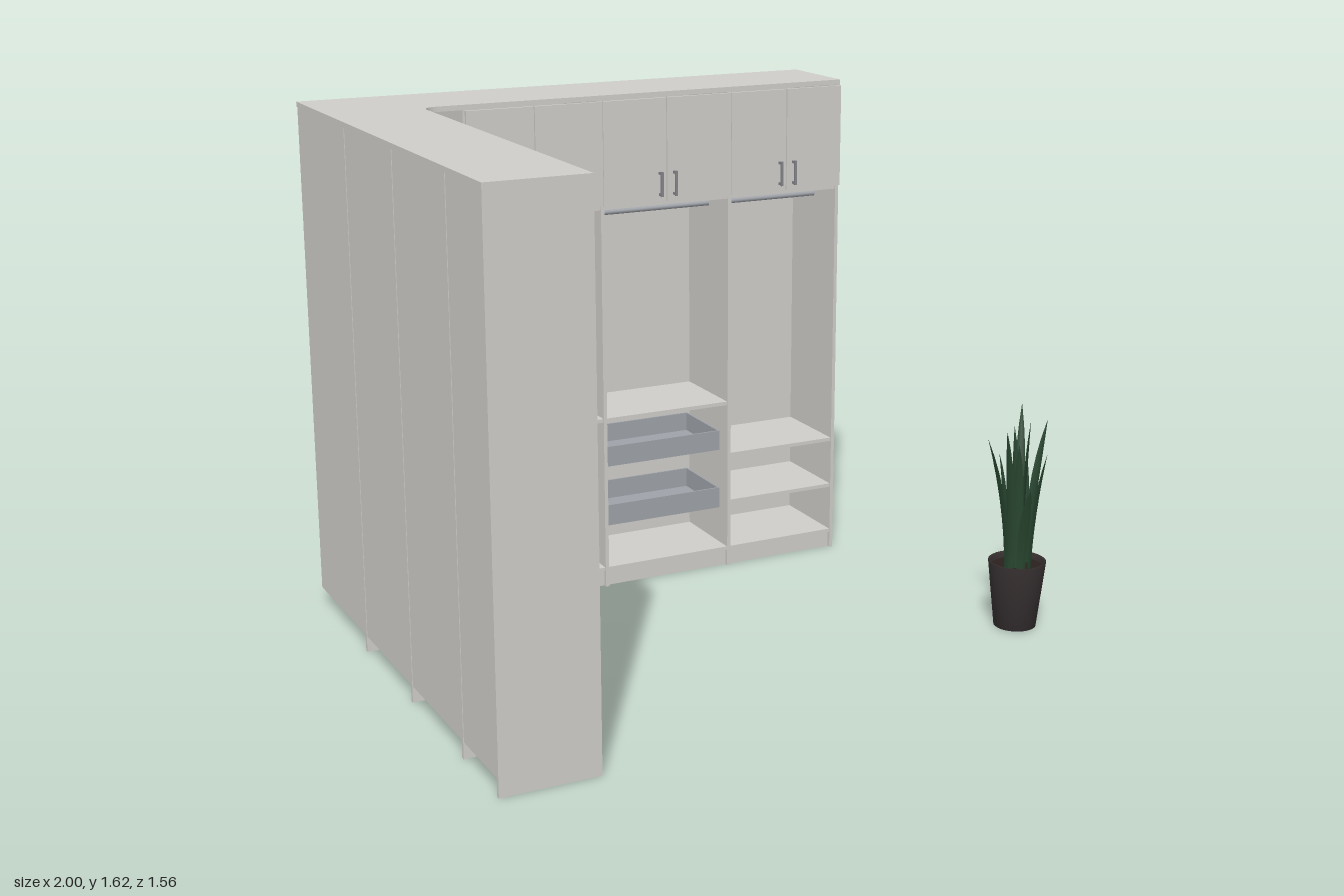
import * as THREE from 'three';

const mat = (name, color, side = THREE.FrontSide) => {
  const m = new THREE.MeshStandardMaterial({ color, side });
  m.name = name;
  return m;
};

export function createModel() {
  const board = mat('pale board', 0xcfcdc9);
  const metal = mat('grey metal', 0x9ea2a8);
  const grip = mat('handle grey', 0x85868a);
  const wicker = mat('dark wicker', 0x352c2d);
  const clay = mat('dark pot', 0x383132, THREE.DoubleSide);
  const soilMat = mat('soil', 0x2a211d);
  const green = mat('leaf green', 0x28452f, THREE.DoubleSide);

  const model = new THREE.Group();
  model.name = 'cornerWardrobe';
  const T = 0.012; // board thickness

  const add = (name, geo, material, parent = model) => {
    const m = new THREE.Mesh(geo, material);
    m.name = name;
    parent.add(m);
    return m;
  };
  // box given by its limits
  const box = (name, material, x0, x1, y0, y1, z0, z1, parent = model) => {
    const m = add(name, new THREE.BoxGeometry(x1 - x0, y1 - y0, z1 - z0), material, parent);
    m.position.set((x0 + x1) / 2, (y0 + y1) / 2, (z0 + z1) / 2);
    return m;
  };

  // L-shaped board with a rounded inner corner
  const lBoard = (name, xEnd, zEnd, y0, y1, r, inset = 0) => {
    const s = new THREE.Shape();
    const a = -1 + inset, b = 0.78 - inset;
    s.moveTo(a, b);
    s.lineTo(xEnd, b);
    s.lineTo(xEnd, 0.485);
    s.lineTo(-0.705 + r, 0.485);
    s.quadraticCurveTo(-0.705, 0.485, -0.705, 0.485 - r);
    s.lineTo(-0.705, -zEnd);
    s.lineTo(a, -zEnd);
    const g = new THREE.ExtrudeGeometry(s, { depth: y1 - y0, bevelEnabled: false, curveSegments: 10 });
    g.rotateX(-Math.PI / 2);
    add(name, g, board).position.y = y0;
  };

  // top and corner shelves
  lBoard('topBoard', 0.735, 0.78, 1.604, 1.62, 0.055);
  for (const y of [0.055, 0.235, 0.405, 0.605, 0.82, 1.045, 1.265, 1.375, 1.49])
    lBoard('cornerShelf', -0.57, -0.32, y - T / 2, y + T / 2, 0.06, 0.008);

  // upright panels and back panels
  const xs = [-0.57, -0.12, 0.33, 0.729];
  const zs = [-0.317, 0.1, 0.515, 0.774];
  for (const x of xs) box('uprightPanel', board, x - T / 2, x + T / 2, 0, 1.604, -0.78, -0.485);
  for (const z of zs) box('uprightPanel', board, -1, -0.705, 0, 1.604, z - T / 2, z + T / 2);
  box('rearBackPanel', board, -0.998, 0.729, 0.05, 1.604, -0.778, -0.77);
  box('sideBackPanel', board, -0.998, -0.99, 0.05, 1.604, -0.778, 0.774);

  // shelves of the rear run
  [[0.06, 0.57, 1.265], [0.06, 0.57, 1.265], [0.06, 0.225, 0.39, 1.265]].forEach((ys, i) => {
    for (const y of ys)
      box('rearShelf', board, xs[i], xs[i + 1], y - T / 2, y + T / 2, -0.775, -0.488);
    box('rearPlinth', board, xs[i], xs[i + 1], 0, 0.054, -0.51, -0.498);
    // hanging rail
    const rail = add('hangingRail', new THREE.CylinderGeometry(0.009, 0.009, xs[i + 1] - xs[i], 12), metal);
    rail.rotation.z = Math.PI / 2;
    rail.position.set((xs[i] + xs[i + 1]) / 2, 1.222, -0.63);
  });

  // shelves of the side run, from the corner outwards
  [[0.06, 0.54, 1.265, 1.425],
    [0.06, 0.54, 0.785, 0.995, 1.265, 1.425],
    [0.055, 0.257, 0.415, 0.57, 0.77, 0.985, 1.265, 1.42]].forEach((ys, i) => {
    for (const y of ys)
      box('sideShelf', board, -0.995, -0.708, y - T / 2, y + T / 2, zs[i], zs[i + 1]);
    box('sidePlinth', board, -0.73, -0.718, 0, 0.054, zs[i], zs[i + 1]);
  });
  box('drawerPlinth', board, -0.716, -0.705, 0, 0.068, zs[0], zs[2]);
  // plinth around the corner
  box('cornerPlinth', board, -0.73, -0.718, 0, 0.05, -0.5, -0.317);
  box('cornerPlinth', board, -0.73, -0.57, 0, 0.05, -0.51, -0.498);

  // bar handle on two posts, upright and facing +z before turning
  const handle = (x, y, z, ry = 0, rz = 0) => {
    const g = new THREE.Group();
    g.name = 'handle';
    box('handleBar', grip, -0.004, 0.004, -0.04, 0.04, 0.013, 0.02, g);
    for (const s of [-1, 1])
      box('handlePost', grip, -0.004, 0.004, s * 0.034 - 0.004, s * 0.034 + 0.004, 0, 0.014, g);
    g.position.set(x, y, z);
    g.rotation.set(0, ry, rz);
    model.add(g);
  };

  // upper doors in pairs
  for (const [a, m, b] of [[-0.57, -0.348, -0.12], [-0.12, 0.1, 0.33], [0.33, 0.532, 0.735]]) {
    box('upperDoor', board, a + 0.001, m - 0.0015, 1.272, 1.602, -0.485, -0.475);
    box('upperDoor', board, m + 0.0015, b - 0.001, 1.272, 1.602, -0.485, -0.475);
    for (const s of [-1, 1]) handle(m + s * 0.025, 1.33, -0.475);
  }

  // tall doors of the side run
  box('tallDoor', board, -0.705, -0.692, 0.542, 1.258, -0.315, -0.1105);
  box('tallDoor', board, -0.705, -0.692, 0.542, 1.258, -0.1075, 0.098);
  for (const s of [-1, 1]) handle(-0.692, 0.6, -0.109 + s * 0.026, Math.PI / 2);

  // drawer fronts
  const cuts = [0.07, 0.19, 0.31, 0.435, 0.538];
  for (const [z0, z1] of [[-0.315, 0.097], [0.102, 0.508]])
    for (let i = 0; i < 4; i++) {
      box('drawerFront', board, -0.705, -0.692, cuts[i] + 0.001, cuts[i + 1] - 0.001, z0, z1);
      handle(-0.692, (cuts[i] + cuts[i + 1]) / 2, (z0 + z1) / 2, Math.PI / 2, Math.PI / 2);
    }

  // open trays and the laundry basket
  const openBox = (name, material, x0, x1, y0, y1, z0, z1, t) => {
    const g = new THREE.Group();
    g.name = name;
    box('base', material, x0, x1, y0, y0 + t, z0, z1, g);
    for (const z of [z0, z1 - t]) box('wall', material, x0, x1, y0, y1, z, z + t, g);
    for (const x of [x0, x1 - t]) box('wall', material, x, x + t, y0, y1, z0, z1, g);
    model.add(g);
  };
  openBox('tray', metal, -0.56, -0.14, 0.445, 0.515, -0.76, -0.515, 0.006);
  openBox('tray', metal, -0.11, 0.31, 0.403, 0.47, -0.76, -0.515, 0.006);
  openBox('tray', metal, -0.11, 0.31, 0.2, 0.27, -0.76, -0.515, 0.006);
  openBox('laundryBasket', wicker, -0.52, -0.17, 0.085, 0.395, -0.74, -0.53, 0.01);

  // potted plant
  const plant = new THREE.Group();
  plant.name = 'pottedPlant';
  plant.position.set(0.89, 0, 0.39);
  model.add(plant);
  const profile = [[0, 0], [0.066, 0], [0.09, 0.213], [0.086, 0.215], [0.082, 0.21], [0.08, 0.19]];
  add('pot', new THREE.LatheGeometry(profile.map(p => new THREE.Vector2(...p)), 32), clay, plant);
  const soil = add('soil', new THREE.CircleGeometry(0.081, 24), soilMat, plant);
  soil.rotation.x = -Math.PI / 2;
  soil.position.y = 0.195;

  // upright leaf: folded blade bending from its root to the given tip
  const leaf = (tx, ty, tz) => {
    const n = 8, pos = [], idx = [], d = Math.hypot(tx, tz) || 1;
    const ux = tx / d, uz = tz / d, root = Math.min(0.045, d * 0.6);
    for (let i = 0; i <= n; i++) {
      const t = i / n, r = root + (d - root) * t ** 1.7, y = 0.19 + (ty - 0.19) * t;
      const w = 0.019 * (0.7 + 0.6 * t) * (1 - t ** 3) + 0.0004;
      for (const s of [-1, 0, 1]) {
        const q = r - (s ? w * 0.5 : 0);
        pos.push(ux * q - uz * w * s, y, uz * q + ux * w * s);
      }
      if (i < n)
        for (let k = 0; k < 2; k++) {
          const a = i * 3 + k;
          idx.push(a, a + 3, a + 1, a + 1, a + 3, a + 4);
        }
    }
    const g = new THREE.BufferGeometry();
    g.setAttribute('position', new THREE.Float32BufferAttribute(pos, 3));
    g.setIndex(idx);
    g.computeVertexNormals();
    add('leaf', g, green, plant);
  };
  for (const tip of [[-0.118, 0.62, -0.01], [-0.07, 0.645, 0.02], [-0.03, 0.6, 0.03], [0.022, 0.665, 0.012],
    [0.07, 0.685, -0.105], [0.108, 0.65, -0.02], [0.05, 0.57, 0.065], [-0.03, 0.475, 0.098],
    [-0.005, 0.64, -0.035], [0.06, 0.52, -0.05], [-0.04, 0.55, -0.06]]) leaf(...tip);

  return model;
}
